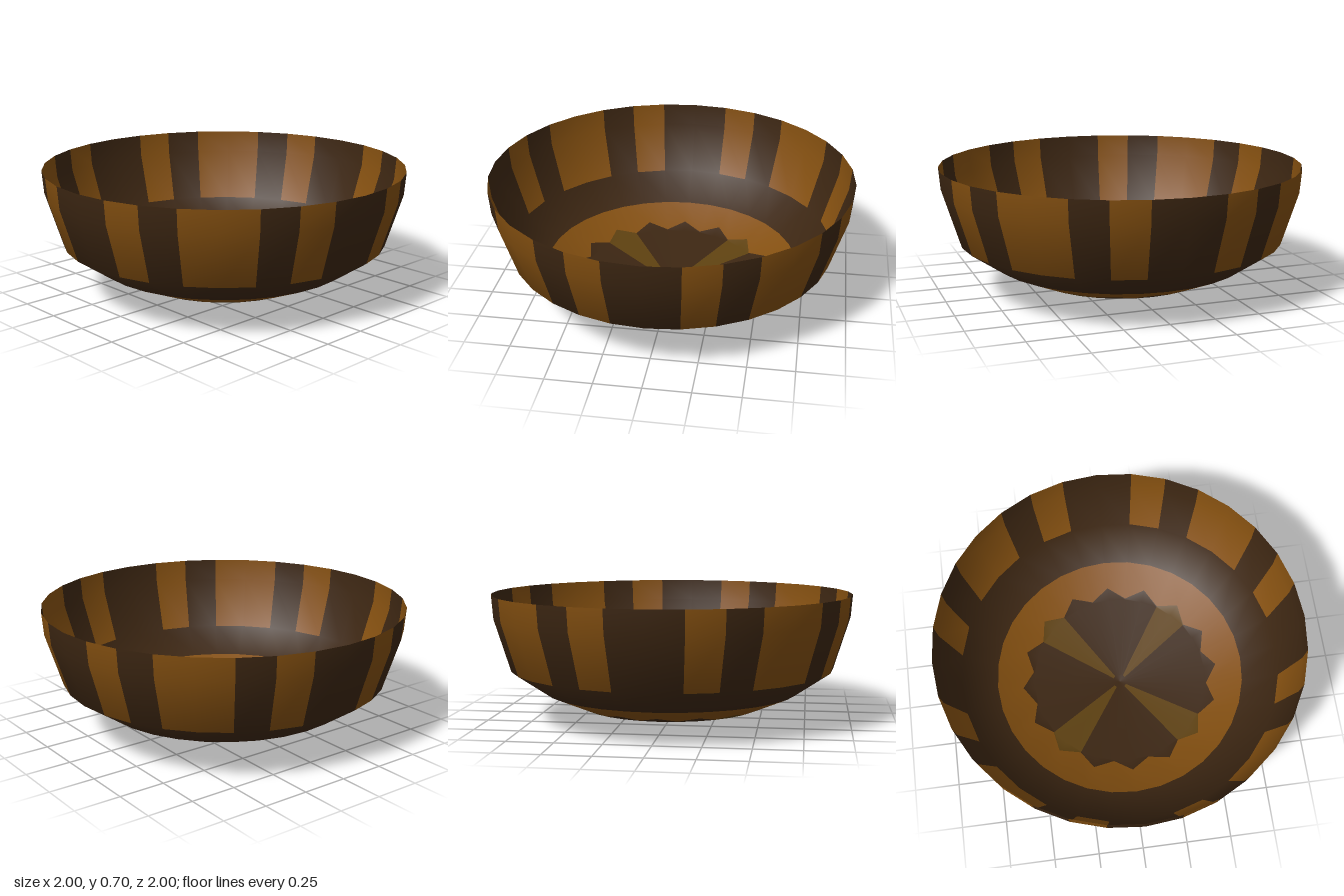
import * as THREE from 'three';

const SIDES = 32;

// Profile rings from the base point to the rim: [radius at even spokes, height, radius at odd spokes, height]
const RINGS = [
  [0, 0],
  [0.04, 0.006],
  [0.5, 0.07],
  [0.568, 0.099, 0.508, 0.0735], // scalloped edge of the rosette
  [0.71, 0.16],
  [0.9, 0.29],
  [0.99, 0.58],
  [1, 0.705],
];

const material = (name, color) =>
  new THREE.MeshStandardMaterial({ name, color, side: THREE.DoubleSide });

export function createModel() {
  const group = new THREE.Group();
  group.name = 'bowl';
  const dark = material('dark brown', 0x3c2612);
  const amber = material('amber brown', 0x834f10);
  const olive = material('olive brown', 0x5e4110);

  // Vertices of the whole shell, shared so that shading stays smooth across colours
  const positions = [];
  for (const [r, y, oddR = r, oddY = y] of RINGS) {
    for (let j = 0; j < SIDES; j++) {
      const a = (j / SIDES) * Math.PI * 2;
      const radius = j % 2 ? oddR : r;
      positions.push(radius * Math.sin(a), j % 2 ? oddY : y, radius * Math.cos(a));
    }
  }

  const parts = {
    petals: { mat: dark, index: [] },
    petalGaps: { mat: olive, index: [] },
    floorRing: { mat: amber, index: [] },
    lowerWall: { mat: dark, index: [] },
    wallPanels: { mat: dark, index: [] },
    wallStripes: { mat: amber, index: [] },
  };

  // Which part a face belongs to; the pattern repeats every quarter turn
  const partAt = (row, side) => {
    const q = side % 8;
    if (row === 0) return parts.petals;
    if (row < 3) return q === 3 || q === 4 ? parts.petalGaps : parts.petals;
    if (row === 3) return parts.floorRing;
    if (row === 4) return parts.lowerWall;
    return [1, 3, 4, 6].includes(q) ? parts.wallStripes : parts.wallPanels;
  };

  const all = [];
  for (let row = 0; row < RINGS.length - 1; row++) {
    for (let j = 0; j < SIDES; j++) {
      const k = (j + 1) % SIDES;
      const a = row * SIDES + j, b = row * SIDES + k;
      const c = b + SIDES, d = a + SIDES;
      const faces = row === 0 ? [a, c, d] : [a, b, c, a, c, d];
      partAt(row, j).index.push(...faces);
      all.push(...faces);
    }
  }

  const shell = new THREE.BufferGeometry();
  shell.setAttribute('position', new THREE.Float32BufferAttribute(positions, 3));
  shell.setIndex(all);
  shell.computeVertexNormals();

  // Cut the shell into its coloured parts
  for (const [name, { mat, index }] of Object.entries(parts)) {
    const piece = shell.clone();
    piece.setIndex(index);
    const mesh = new THREE.Mesh(piece.toNonIndexed(), mat);
    mesh.name = name;
    group.add(mesh);
  }
  return group;
}
